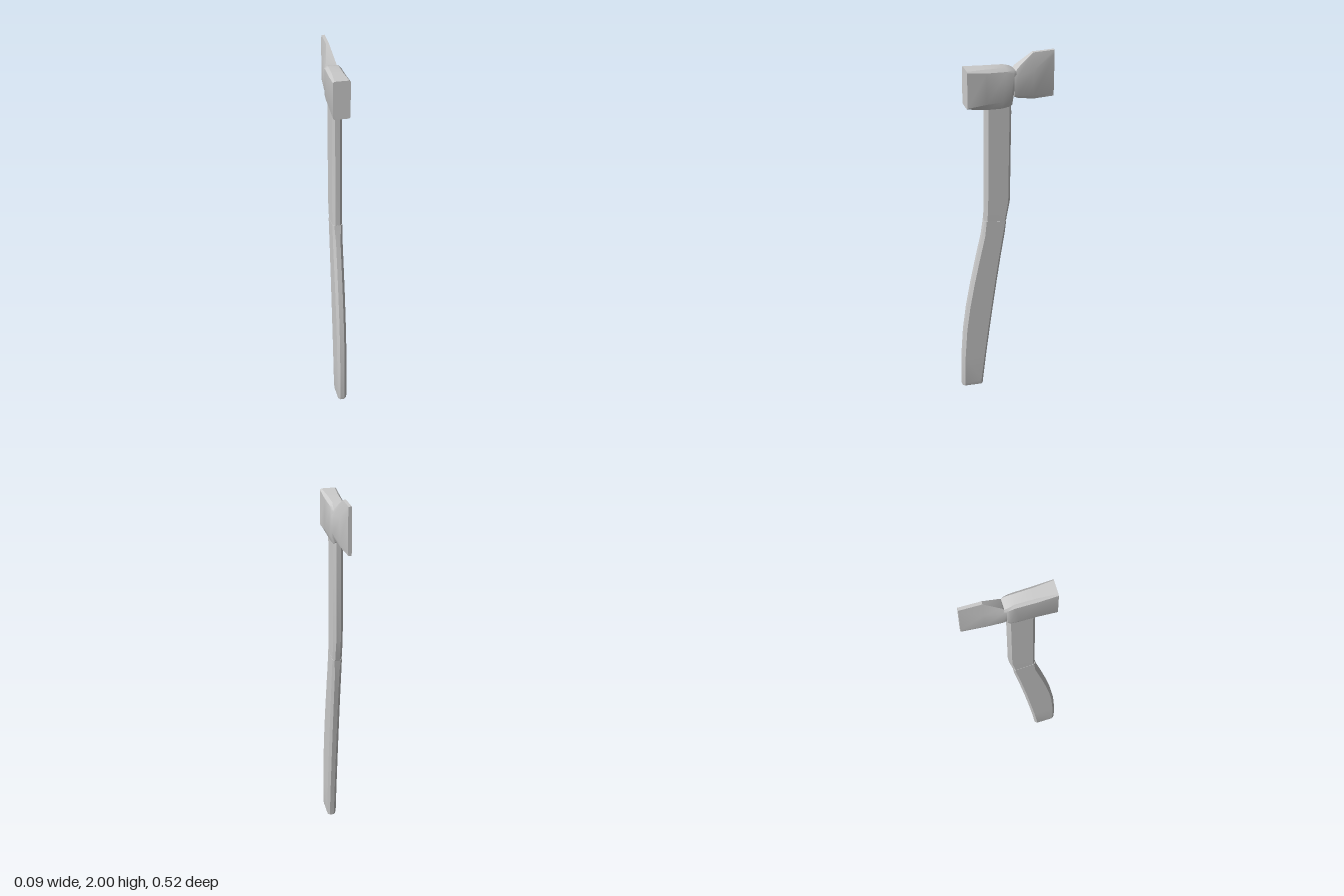
import * as THREE from 'three';
import { toCreasedNormals } from 'three/addons/utils/BufferGeometryUtils.js';

// Skins closed rings (counter-clockwise seen from the first ring's side) and caps both ends.
function loft(name, rings, crease) {
  const n = rings[0].length;
  const index = [];
  for (let r = 0; r < rings.length - 1; r++) {
    for (let i = 0; i < n; i++) {
      const j = (i + 1) % n;
      const a = r * n + i, b = r * n + j, c = a + n, d = b + n;
      index.push(a, c, d, a, d, b);
    }
  }
  const last = (rings.length - 1) * n;
  for (let i = 1; i < n - 1; i++) {
    index.push(0, i, i + 1, last, last + i + 1, last + i);
  }
  const geometry = new THREE.BufferGeometry();
  geometry.setAttribute('position', new THREE.Float32BufferAttribute(rings.flat(2), 3));
  geometry.setIndex(index);
  const mesh = new THREE.Mesh(
    toCreasedNormals(geometry, crease),
    new THREE.MeshStandardMaterial({ color: 0xcccccc })
  );
  mesh.name = name;
  return mesh;
}

// Horizontal chamfered section of the handle; the rear edge may sit at its own height.
function handleRing([y, front, back, w = 0.026, c = 0.014, backY = y]) {
  return [
    [w, y, front - c], [w, backY, back + c], [w - c, backY, back], [c - w, backY, back],
    [-w, backY, back + c], [-w, y, front - c], [c - w, y, front], [w - c, y, front],
  ];
}

// Vertical section of the head: w at the flanks, tw and bw along top and bottom edges.
function headRing({ zTop, zLow = zTop, top, low, w, tw, bw, ct = 0.015, cb = 0.015 }) {
  return [
    [bw, low, zLow], [w, low + cb, zLow], [w, top - ct, zTop], [tw, top, zTop],
    [-tw, top, zTop], [-w, top - ct, zTop], [-w, low + cb, zLow], [-bw, low, zLow],
  ];
}

export function createModel() {
  const group = new THREE.Group();

  // Straight upper shaft, bending in just above the joint
  group.add(loft('upperHandle', [
    [1.77, 0.105, -0.03],
    [1.70, 0.105, -0.032],
    [1.19, 0.112, -0.026],
    [1.08, 0.115, -0.004, 0.025, 0.012, 1.07],
  ].map(handleRing), 0.6));

  // Curved lower grip
  group.add(loft('lowerHandle', [
    [1.09, 0.115, -0.004, 0.026, 0.008, 1.075],
    [1.0, 0.130, 0.002],
    [0.85, 0.163, 0.026],
    [0.7, 0.194, 0.048],
    [0.55, 0.221, 0.069],
    [0.4, 0.241, 0.089],
    [0.22, 0.254, 0.112],
    [0.03, 0.259, 0.134],
    [0.01, 0.257, 0.136, 0.022, 0.012, 0.0],
  ].map(handleRing), 0.6));

  // Blunt hammer block
  group.add(loft('hammerHead', [
    { zTop: 0.203, zLow: 0.206, top: 1.957, low: 1.758, w: 0.043, tw: 0.036, bw: 0.036, ct: 0.006, cb: 0.006 },
    { zTop: 0.105, top: 1.952, low: 1.736, w: 0.042, tw: 0.028, bw: 0.027, cb: 0.035 },
    { zTop: 0.0, zLow: 0.02, top: 1.945, low: 1.731, w: 0.040, tw: 0.026, bw: 0.026, cb: 0.04 },
    { zTop: -0.035, zLow: -0.02, top: 1.932, low: 1.737, w: 0.039, tw: 0.030, bw: 0.026, cb: 0.04 },
    { zTop: -0.052, zLow: -0.034, top: 1.922, low: 1.745, w: 0.033, tw: 0.028, bw: 0.022, cb: 0.03 },
  ].map(headRing), 0.6));

  // Flared blade tapering to a thin straight edge
  group.add(loft('axeBlade', [
    { zTop: -0.04, top: 1.91, low: 1.79, w: 0.037, tw: 0.032, bw: 0.032 },
    { zTop: -0.06, top: 1.935, low: 1.78, w: 0.035, tw: 0.025, bw: 0.03, ct: 0.04 },
    { zTop: -0.145, top: 2.0, low: 1.758, w: 0.0235, tw: 0.008, bw: 0.018, ct: 0.09, cb: 0.02 },
    { zTop: -0.258, top: 2.0, low: 1.754, w: 0.0095, tw: 0.008, bw: 0.008, ct: 0.02, cb: 0.02 },
  ].map(headRing), 0.6));

  return group;
}
